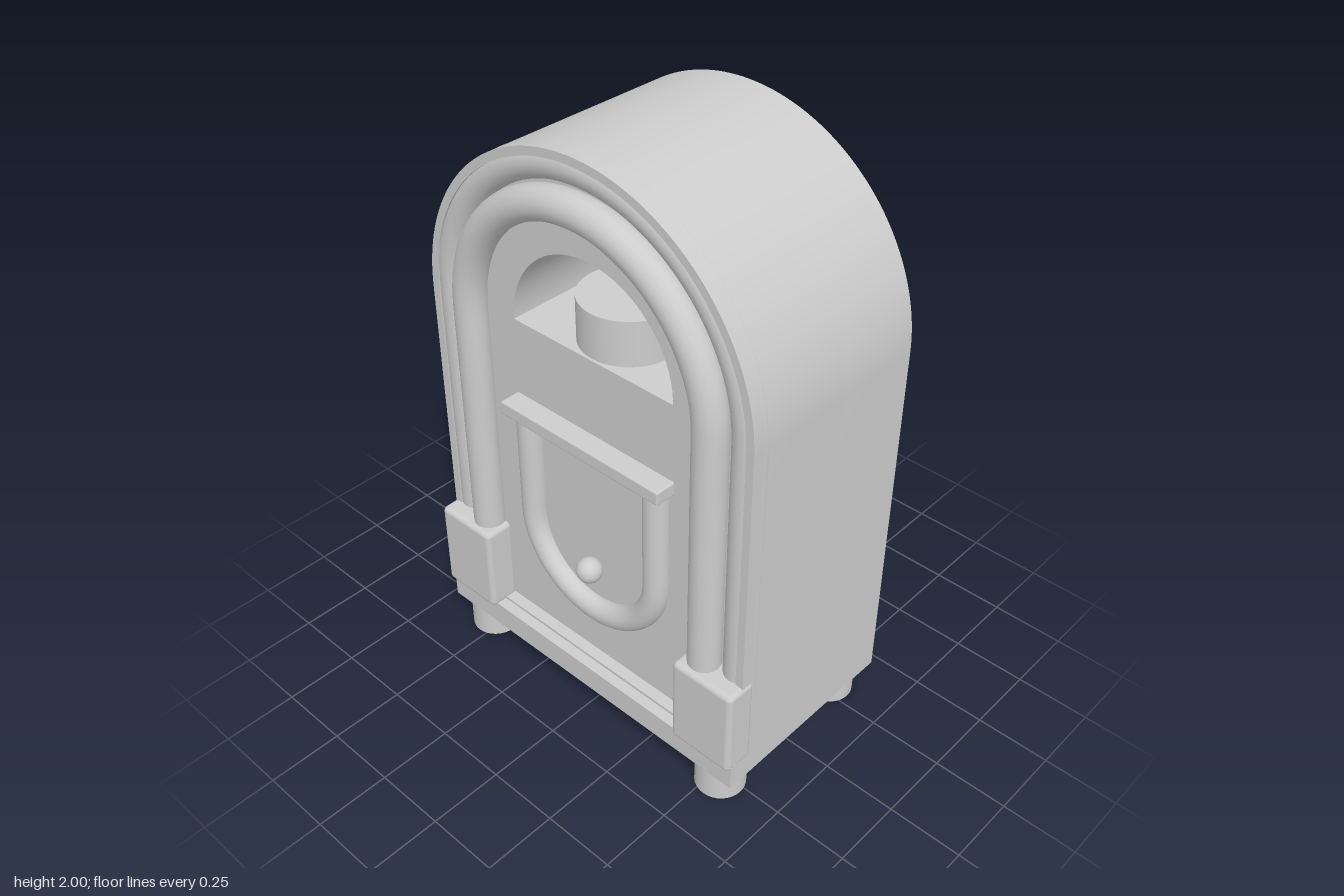
import * as THREE from 'three';
import { toCreasedNormals } from 'three/addons/utils/BufferGeometryUtils.js';
import { RoundedBoxGeometry } from 'three/addons/geometries/RoundedBoxGeometry.js';

const HALF = 0.637, SPRING = 1.363, BASE = 0.2, BACK = -0.375;

// Round-topped outline standing on y = bottom
function archOutline(Type, r, bottom) {
  const s = new Type();
  s.moveTo(-r, bottom);
  s.lineTo(r, bottom);
  s.lineTo(r, SPRING);
  s.absarc(0, SPRING, r, 0, Math.PI, false);
  s.lineTo(-r, bottom);
  return s;
}

// Extrusion between two depths, smooth on the curves and sharp on the edges
function extrude(shape, z0, z1) {
  const g = new THREE.ExtrudeGeometry(shape, { depth: z1 - z0, bevelEnabled: false, curveSegments: 48 });
  g.translate(0, 0, z0);
  return toCreasedNormals(g, 0.5);
}

// Tube with two straight legs joined by a half circle; dir = 1 bends over, -1 bends under
function bentTube(r, endY, centreY, z, thickness, dir) {
  const pts = [];
  for (let i = 0; i < 8; i++) pts.push(new THREE.Vector3(r, endY + (centreY - endY) * i / 8, z));
  for (let i = 0; i <= 24; i++) {
    const a = Math.PI * i / 24;
    pts.push(new THREE.Vector3(r * Math.cos(a), centreY + dir * r * Math.sin(a), z));
  }
  for (let i = 7; i >= 0; i--) pts.push(new THREE.Vector3(-r, endY + (centreY - endY) * i / 8, z));
  return new THREE.TubeGeometry(new THREE.CatmullRomCurve3(pts), 120, thickness, 20, false);
}

export function createModel() {
  const group = new THREE.Group();
  const grey = new THREE.MeshStandardMaterial({ color: 0xcccccc });
  grey.name = 'grey';

  function add(name, geometry, x = 0, y = 0, z = 0) {
    const m = new THREE.Mesh(geometry, grey);
    m.name = name;
    m.position.set(x, y, z);
    group.add(m);
    return m;
  }

  // Cabinet: solid back, front half pierced by the half-round niche
  add('cabinetBack', extrude(archOutline(THREE.Shape, HALF, BASE), BACK, -0.06));
  const front = archOutline(THREE.Shape, HALF, BASE);
  const niche = new THREE.Path();
  niche.moveTo(-0.32, 1.36);
  niche.lineTo(0.32, 1.36);
  niche.absarc(0, 1.36, 0.318, 0, Math.PI, false);
  front.holes.push(niche);
  add('cabinetFront', extrude(front, -0.06, 0.275));

  // Thin raised rim around the front
  const rim = archOutline(THREE.Shape, HALF, BASE);
  rim.holes.push(archOutline(THREE.Path, 0.61, BASE + 0.01));
  add('frontRim', extrude(rim, 0.275, 0.315));

  // Plinth and feet
  add('plinth', new THREE.BoxGeometry(HALF * 2, 0.09, 0.727), 0, 0.155, -0.0115);
  for (const x of [-0.53, 0.53]) {
    for (const z of [-0.285, 0.27]) {
      add('foot', new THREE.CylinderGeometry(0.083, 0.083, 0.12, 32), x, 0.06, z);
    }
  }

  // Arched light tubes and the blocks that hold their ends
  add('outerTube', bentTube(0.585, 0.45, SPRING, 0.263, 0.053, 1));
  add('innerTube', bentTube(0.478, 0.45, SPRING, 0.303, 0.053, 1));
  for (const side of [-1, 1]) {
    add('cornerBlock', new RoundedBoxGeometry(0.232, 0.32, 0.11, 4, 0.018), side * 0.526, 0.358, 0.32);
  }

  // Turntable drum standing in the niche
  add('turntable', new THREE.CylinderGeometry(0.157, 0.157, 0.15, 48), 0, 1.435, 0.11);

  // Lower panel trim: U-shaped tube, shelf and knob
  add('panelTrim', bentTube(0.265, 1.07, 0.68, 0.283, 0.043, -1));
  add('shelf', new RoundedBoxGeometry(0.65, 0.047, 0.085, 3, 0.006), 0, 1.072, 0.303);
  add('knob', new THREE.SphereGeometry(0.043, 24, 16), 0, 0.585, 0.308);

  return group;
}
